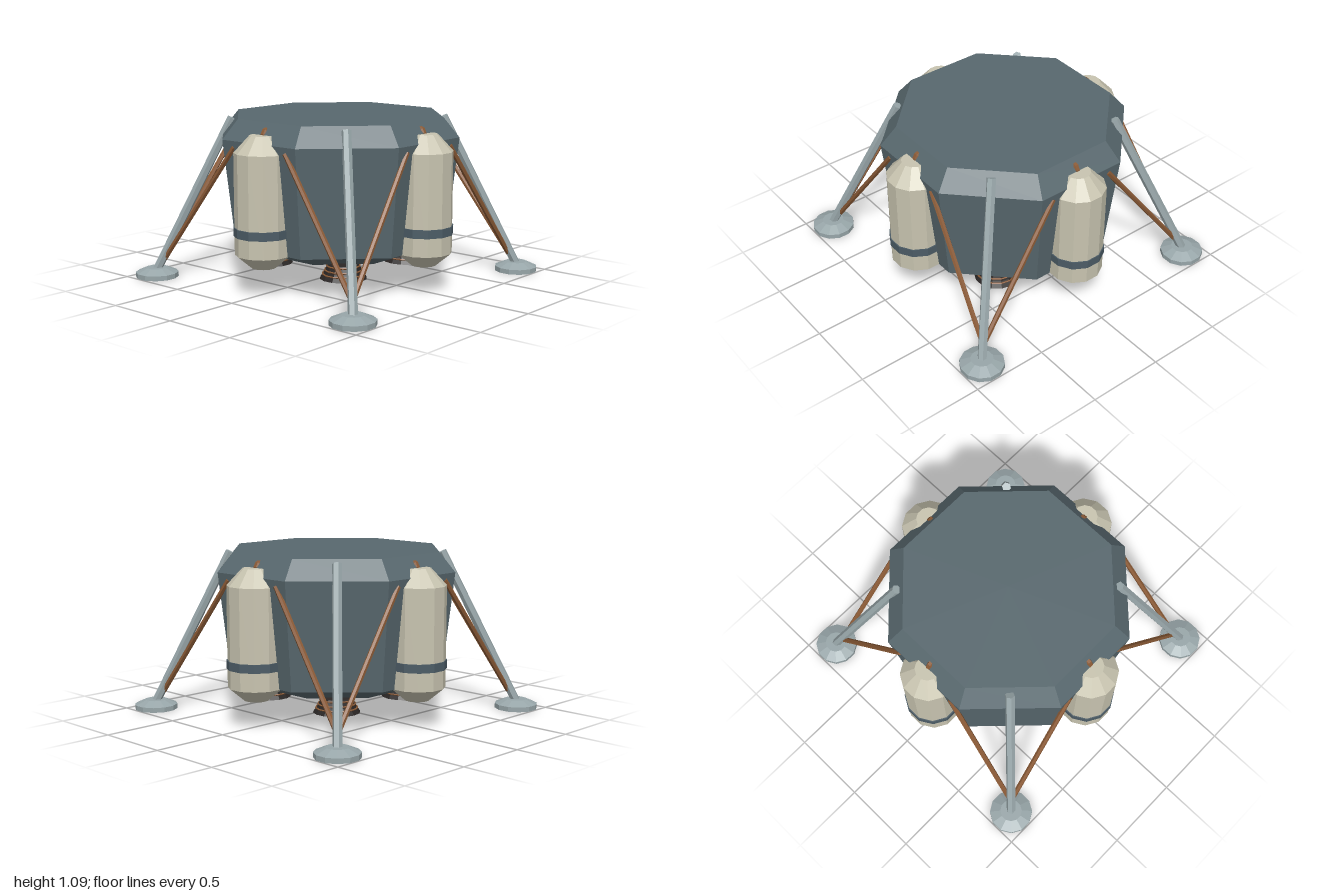
import * as THREE from 'three';

const mat = (name, color) => {
  const m = new THREE.MeshStandardMaterial({ color });
  m.name = name;
  return m;
};

export function createModel() {
  const hull = mat('slate hull', 0x58686e);
  const metal = mat('pale metal', 0x98a6a9);
  const cream = mat('cream tank', 0xc8c4b0);
  const copper = mat('copper', 0x8a5a36);
  const dark = mat('dark nozzle', 0x2a2625);
  const bandMat = mat('blue grey band', 0x4c5c66);
  const model = new THREE.Group();
  model.name = 'landerDescentStage';

  // Faceted mesh with one normal per face
  const facet = (name, geometry, material, parent) => {
    const g = geometry.index ? geometry.toNonIndexed() : geometry;
    g.computeVertexNormals();
    const mesh = new THREE.Mesh(g, material);
    mesh.name = name;
    parent.add(mesh);
    return mesh;
  };
  // Turned solid from [radius, height] pairs, bottom to top
  const turned = (profile, sides) => new THREE.LatheGeometry(
    profile.map(([r, y]) => new THREE.Vector2(r, y)), sides, Math.PI / sides);
  // Straight bar between two points
  const bar = (name, a, b, radius, sides, material, parent) => {
    const from = new THREE.Vector3(...a), to = new THREE.Vector3(...b);
    const dir = to.clone().sub(from);
    const mesh = facet(name, new THREE.CylinderGeometry(radius, radius, dir.length(), sides), material, parent);
    mesh.position.copy(from).add(to).multiplyScalar(0.5);
    mesh.quaternion.setFromUnitVectors(new THREE.Vector3(0, 1, 0), dir.normalize());
    return mesh;
  };

  // Octagonal body; sizes are given across the flats
  const k = 1 / Math.cos(Math.PI / 8);
  facet('body', turned([[0, 0.175], [0.47 * k, 0.175], [0.68 * k, 0.26],
    [0.757 * k, 0.96], [0.658 * k, 1.085], [0, 1.085]], 8), hull, model);

  for (let i = 0; i < 4; i++) {
    // Tank on each main side
    const tank = new THREE.Group();
    tank.name = 'tankAssembly';
    tank.rotation.y = i * Math.PI / 2;
    model.add(tank);
    const shell = facet('tank', turned([[0, 0.175], [0.08, 0.175], [0.18, 0.26],
      [0.18, 0.905], [0.08, 1.013], [0, 1.013]], 12), cream, tank);
    const band = facet('tankBand', turned([[0.178, 0.38], [0.187, 0.38],
      [0.187, 0.435], [0.178, 0.435]], 12), bandMat, tank);
    shell.position.z = band.position.z = 0.716;
    // Feed pipe curving from the tank top into the body
    const path = new THREE.CatmullRomCurve3([
      new THREE.Vector3(0, 0.98, 0.7), new THREE.Vector3(0, 1.03, 0.695),
      new THREE.Vector3(0, 1.04, 0.66), new THREE.Vector3(0, 1.03, 0.6)]);
    facet('feedPipe', new THREE.TubeGeometry(path, 8, 0.022, 6), copper, tank);

    // Leg on each corner
    const leg = new THREE.Group();
    leg.name = 'leg';
    leg.rotation.y = i * Math.PI / 2;
    model.add(leg);
    bar('mainStrut', [0.86, 0.04, 0.86], [0.495, 1.062, 0.495], 0.03, 6, metal, leg);
    bar('sideStrut', [0.82, 0.12, 0.82], [0.22, 0.92, 0.745], 0.017, 6, copper, leg);
    bar('sideStrut', [0.82, 0.12, 0.82], [0.745, 0.92, 0.22], 0.017, 6, copper, leg);
    const pad = facet('footPad', turned([[0, 0], [0.142, 0], [0.142, 0.032],
      [0.072, 0.063], [0, 0.063]], 12), metal, leg);
    pad.position.set(0.858, 0, 0.858);

    // Engine nozzle under each corner
    const engine = new THREE.Group();
    engine.name = 'engine';
    engine.rotation.y = i * Math.PI / 2;
    model.add(engine);
    const bell = facet('nozzle', turned([[0, 0.13], [0.06, 0.13], [0.14, 0.085],
      [0.152, 0.085], [0.125, 0.125], [0.1, 0.18], [0, 0.2]], 14), dark, engine);
    bell.position.set(0.323, 0, 0.323);
    for (const [r, y] of [[0.106, 0.168], [0.119, 0.14], [0.133, 0.115]]) {
      const ring = facet('nozzleRing', new THREE.TorusGeometry(r, 0.006, 5, 14), copper, engine);
      ring.rotation.x = Math.PI / 2;
      ring.position.set(0.323, y, 0.323);
    }
  }
  return model;
}
